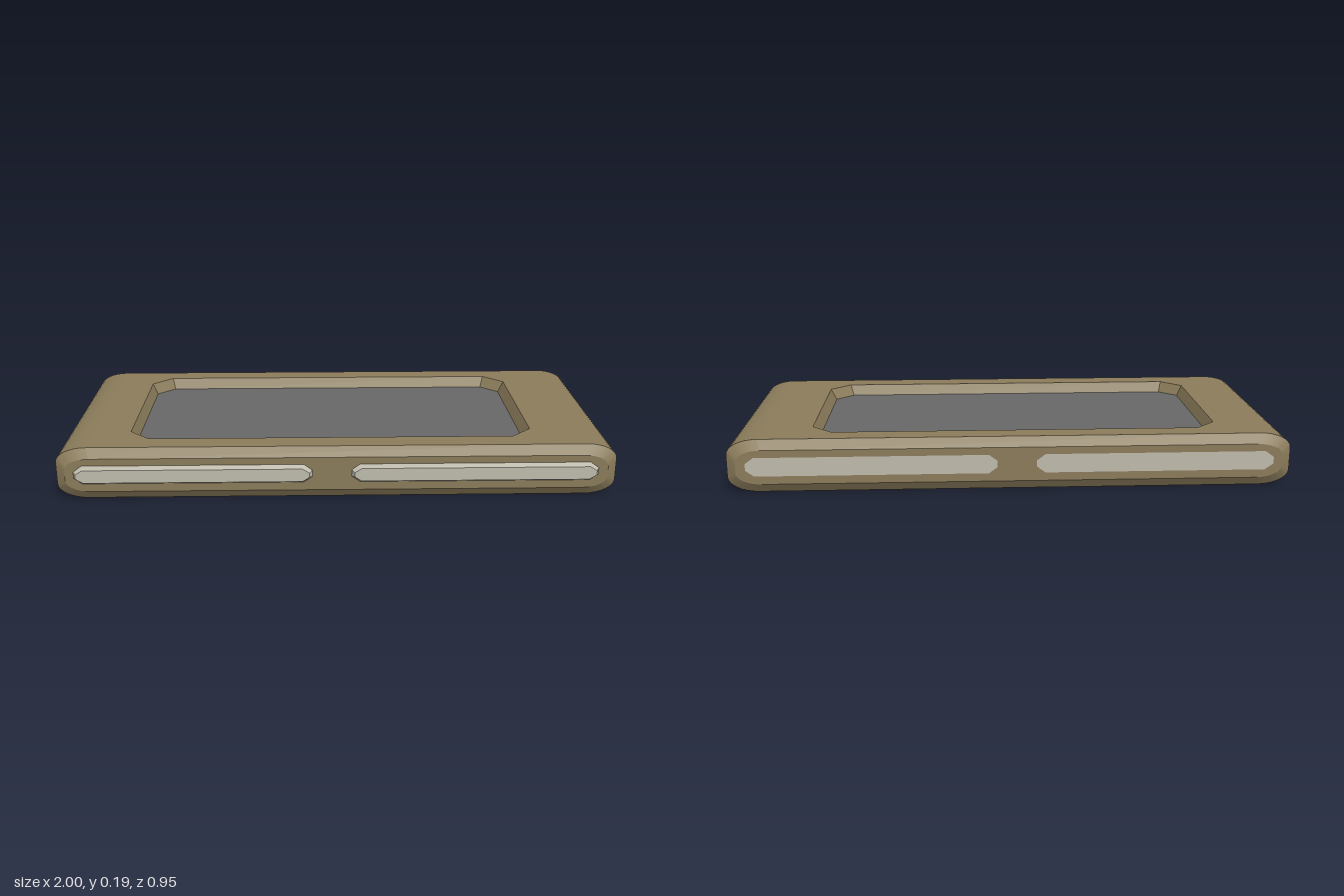
import * as THREE from 'three';
import { toCreasedNormals } from 'three/addons/utils/BufferGeometryUtils.js';

const V = (x, y, z) => new THREE.Vector3(x, y, z);

// Band of quads joining two matching rings of points
function strip(a, b, closed = true) {
  const pts = [];
  const n = a.length;
  for (let i = 0; i < (closed ? n : n - 1); i++) {
    const j = (i + 1) % n;
    pts.push(a[i], b[i], a[j], a[j], b[i], b[j]);
  }
  return toCreasedNormals(new THREE.BufferGeometry().setFromPoints(pts), 0.6);
}

// Rounded slab outline, anticlockwise from the top left
function profile(inset) {
  const w = 1 - inset, h = 0.096 - inset;
  const rx = 0.11 - inset * 0.6, ry = 0.055 - inset * 0.4;
  const pts = [];
  const corners = [[-1, 1], [-1, -1], [1, -1], [1, 1]];
  corners.forEach(([sx, sy], c) => {
    for (let i = 0; i <= 8; i++) {
      const t = Math.PI / 2 * (c + 1 + i / 8);
      pts.push(new THREE.Vector2(
        sx * (w - rx) + rx * Math.cos(t),
        0.096 + sy * (h - ry) + ry * Math.sin(t)));
    }
  });
  return pts;
}

// Rectangle with cut corners, anticlockwise
function octagon(x0, x1, y0, y1, cx, cy) {
  return [
    [x0 + cx, y0], [x1 - cx, y0], [x1, y0 + cy], [x1, y1 - cy],
    [x1 - cx, y1], [x0 + cx, y1], [x0, y1 - cy], [x0, y0 + cy],
  ].map(([x, y]) => new THREE.Vector2(x, y));
}

const atZ = (pts, z) => pts.map(p => V(p.x, p.y, z));
const atY = (pts, y) => pts.map(p => V(p.x, y, -p.y));

export function createModel() {
  const model = new THREE.Group();
  const paint = (name, color) => new THREE.MeshStandardMaterial({ name, color });
  const casing = paint('khaki casing', 0x8a7b5a);
  const screenGrey = paint('dark grey screen', 0x676767);
  const barGrey = paint('pale grey bar', 0xbebaac);

  const add = (name, geometry, material, parent = model) => {
    const mesh = new THREE.Mesh(geometry, material);
    mesh.name = name;
    parent.add(mesh);
    return mesh;
  };

  // Casing: rounded sides, chamfers and end faces
  const body = new THREE.Group();
  body.name = 'casing';
  model.add(body);
  const outer = profile(0), inner = profile(0.034);
  add('casingSides', strip(atZ(outer, 0.43), atZ(outer, -0.45), false), casing, body);
  add('frontChamfer', strip(atZ(inner, 0.455), atZ(outer, 0.43)), casing, body);
  add('backChamfer', strip(atZ(outer, -0.45), atZ(inner, -0.474)), casing, body);
  const endFace = new THREE.ShapeGeometry(new THREE.Shape(inner));
  add('frontFace', endFace, casing, body).position.z = 0.455;
  const backFace = add('backFace', endFace, casing, body);
  backFace.rotation.y = Math.PI;
  backFace.position.z = -0.474;

  // Top face with the screen opening
  const rim = octagon(-0.755, 0.715, -0.345, 0.37, 0.075, 0.075);
  const floor = octagon(-0.735, 0.692, -0.325, 0.348, 0.065, 0.065);
  const top = new THREE.Shape([[-0.89, -0.43], [0.89, -0.43], [0.89, 0.45], [-0.89, 0.45]]
    .map(([x, y]) => new THREE.Vector2(x, y)));
  top.holes.push(new THREE.Path(rim));
  add('topFace', new THREE.ShapeGeometry(top).rotateX(-Math.PI / 2), casing, body)
    .position.y = 0.192;

  // Sloped recess walls and the sunken screen
  add('recessWalls', strip(atY(rim, 0.192).reverse(), atY(floor, 0.152).reverse()), casing, body);
  add('screen', new THREE.ShapeGeometry(new THREE.Shape(floor)).rotateX(-Math.PI / 2), screenGrey)
    .position.y = 0.152;

  // Two bars: raised at the front, flush at the back
  [[-0.935, -0.09], [0.05, 0.932]].forEach(([x0, x1], i) => {
    const bar = new THREE.Group();
    bar.name = i ? 'leftBar' : 'rightBar';
    model.add(bar);
    const base = octagon(x0, x1, 0.064, 0.132, 0.03, 0.022);
    const crown = octagon(x0 + 0.01, x1 - 0.01, 0.074, 0.122, 0.025, 0.016);
    add('barBevel', strip(atZ(crown, 0.474), atZ(base, 0.455)), barGrey, bar);
    add('barFront', new THREE.ShapeGeometry(new THREE.Shape(crown)), barGrey, bar)
      .position.z = 0.474;
    const back = new THREE.ShapeGeometry(new THREE.Shape(
      base.map(p => new THREE.Vector2(-p.x, p.y)).reverse()));
    add('barBack', back.rotateY(Math.PI), barGrey, bar).position.z = -0.476;
  });

  return model;
}
